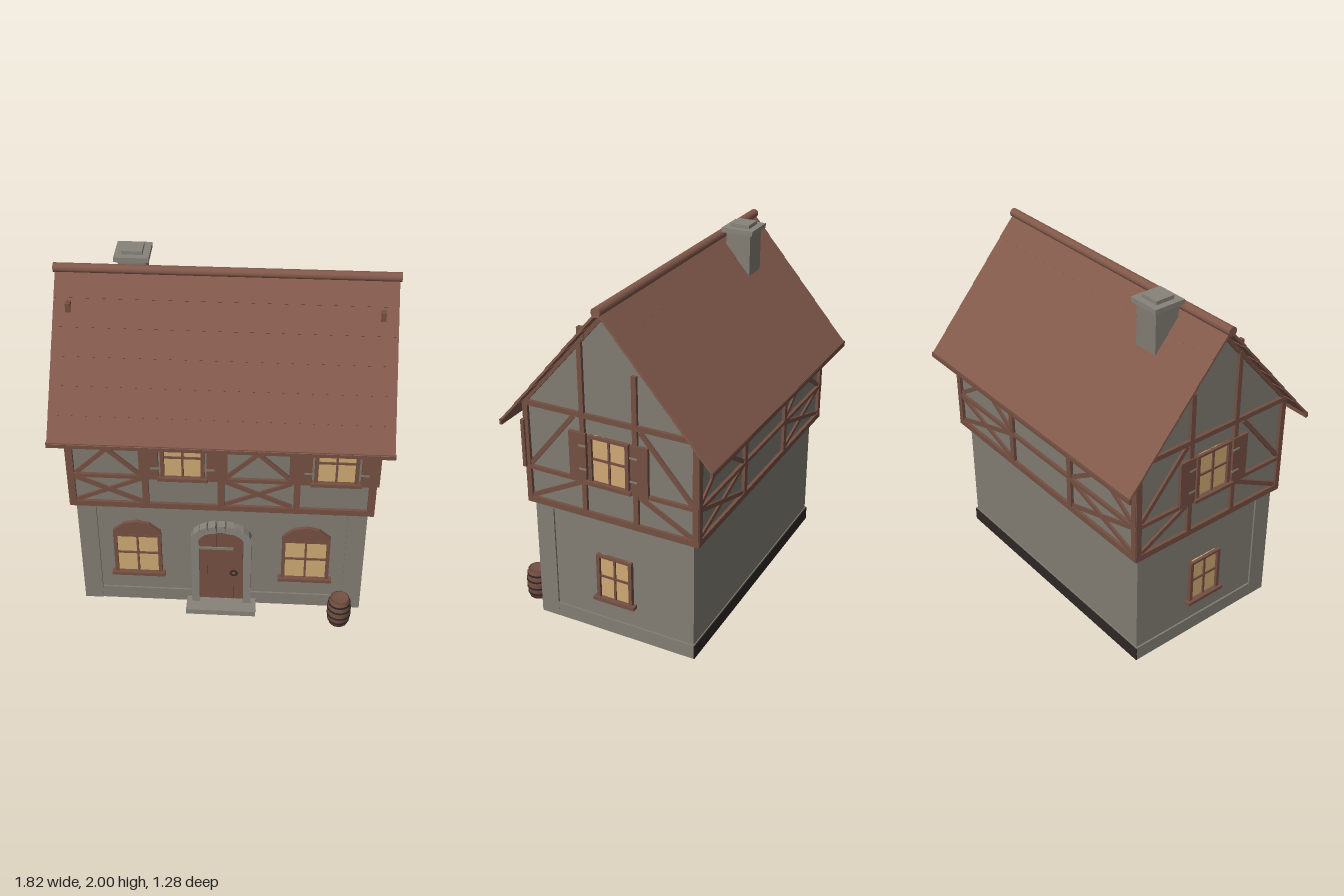
import * as THREE from 'three';

const mat = (name, color) => {
  const m = new THREE.MeshStandardMaterial({ color });
  m.name = name;
  return m;
};
const M = {
  stone: mat('stone', 0x827d73),
  plaster: mat('plaster', 0x807b71),
  roof: mat('roof tile', 0x82594b),
  timber: mat('timber', 0x744f42),
  glass: mat('lit glass', 0xcfa974),
  iron: mat('iron', 0x2e2725),
  trim: mat('door stone', 0x87837a),
};

function add(g, name, geo, m, x = 0, y = 0, z = 0) {
  const mesh = new THREE.Mesh(geo, m);
  mesh.name = name;
  mesh.position.set(x, y, z);
  g.add(mesh);
  return mesh;
}
// Box given by its lower and upper limits
function block(g, name, m, x0, x1, y0, y1, z0, z1) {
  return add(g, name, new THREE.BoxGeometry(x1 - x0, y1 - y0, z1 - z0), m, (x0 + x1) / 2, (y0 + y1) / 2, (z0 + z1) / 2);
}
// Timber between two points of a wall plane
function beam(g, x0, y0, x1, y1, w = 0.035, d = 0.018) {
  const len = Math.hypot(x1 - x0, y1 - y0);
  const b = add(g, 'timberBeam', new THREE.BoxGeometry(len, w, d), M.timber, (x0 + x1) / 2, (y0 + y1) / 2, d / 2);
  b.rotation.z = Math.atan2(y1 - y0, x1 - x0);
}
function cross(g, x0, x1, y0, y1) {
  beam(g, x0, y0, x1, y1, 0.024, 0.011);
  beam(g, x0, y1, x1, y0, 0.024, 0.013);
}
function wallGroup(parent, name, x, z, turn) {
  const g = new THREE.Group();
  g.name = name;
  g.position.set(x, 0, z);
  g.rotation.y = turn;
  parent.add(g);
  return g;
}
// Four-pane window, with an optional arched head or shutters
function addWindow(wall, x, y0, y1, w, { arch = false, shutters = false } = {}) {
  const g = new THREE.Group();
  g.name = 'window';
  g.position.x = x;
  wall.add(g);
  const h = w / 2, t = 0.02, mid = (y0 + y1) / 2;
  block(g, 'glass', M.glass, -h + t, h - t, y0, y1, 0, 0.008);
  for (const s of [-1, 1]) block(g, 'frameSide', M.timber, s * (h - t / 2) - t / 2, s * (h - t / 2) + t / 2, y0, y1, 0, 0.024);
  block(g, 'frameTop', M.timber, -h, h, y1 - t * 0.7, y1, 0, 0.024);
  block(g, 'mullion', M.timber, -0.006, 0.006, y0, y1, 0, 0.016);
  block(g, 'crossbar', M.timber, -h + t, h - t, mid - 0.006, mid + 0.006, 0, 0.015);
  block(g, 'sill', M.timber, -h - 0.018, h + 0.018, y0 - 0.016, y0 + 0.004, 0, 0.038);
  if (arch) {
    const s = new THREE.Shape([[-h, 0], [h, 0], [h, 0.025], [0.07, 0.08], [0, 0.095], [-0.07, 0.08], [-h, 0.025]].map(p => new THREE.Vector2(...p)));
    add(g, 'archedHead', new THREE.ExtrudeGeometry(s, { depth: 0.022, bevelEnabled: false }), M.timber, 0, y1, 0);
  }
  if (shutters) for (const s of [-1, 1]) {
    const c = s * (h + 0.062);
    block(g, 'shutter', M.timber, c - 0.05, c + 0.05, y0 - 0.01, y1 + 0.005, 0.006, 0.026);
    for (const y of [y0 + 0.065, y1 - 0.065]) block(g, 'hinge', M.stone, c - s * 0.03 - 0.022, c - s * 0.03 + 0.022, y - 0.005, y + 0.005, 0.02, 0.03);
  }
}

function groundFloor(root) {
  const g = wallGroup(root, 'groundFloor', 0, 0, 0);
  block(g, 'stoneWalls', M.stone, -0.79, 0.79, 0, 0.74, -0.485, 0.45);
  block(g, 'plinth', M.stone, -0.8, 0.8, 0, 0.085, -0.49, 0.46);
  block(g, 'topCourse', M.stone, -0.8, 0.8, 0.7, 0.73, -0.49, 0.462);
  block(g, 'rearDampCourse', M.iron, -0.8, 0.8, 0, 0.08, -0.494, -0.489);
  for (const s of [-1, 1]) block(g, 'cornerPier', M.stone, s * 0.748 - 0.053, s * 0.748 + 0.053, 0, 0.73, 0.355, 0.464);
  const front = wallGroup(g, 'groundFront', 0, 0.45, 0);
  for (const s of [-1, 1]) {
    addWindow(front, s * 0.475, 0.225, 0.51, 0.27, { arch: true });
    const side = wallGroup(g, 'groundSide', s * 0.79, -0.018, s * Math.PI / 2);
    addWindow(side, 0, 0.225, 0.495, 0.215);
  }
  // Door with raised planks, iron fittings and a stone arch
  const door = wallGroup(front, 'door', 0, 0, 0);
  const leaf = new THREE.Shape();
  leaf.moveTo(-0.13, 0.035);
  leaf.lineTo(0.13, 0.035);
  leaf.lineTo(0.13, 0.51);
  leaf.absellipse(0, 0.51, 0.13, 0.075, 0, Math.PI, false);
  add(door, 'doorLeaf', new THREE.ExtrudeGeometry(leaf, { depth: 0.014, bevelEnabled: false }), M.timber);
  [-0.1, -0.05, 0, 0.05, 0.1].forEach(x => block(door, 'plank', M.timber, x - 0.021, x + 0.021, 0.04, 0.555 - Math.abs(x) * 0.3, 0.01, 0.022));
  block(door, 'strap', M.stone, -0.125, 0.07, 0.425, 0.442, 0.02, 0.028);
  add(door, 'doorRing', new THREE.TorusGeometry(0.018, 0.005, 6, 14), M.iron, 0.07, 0.25, 0.028);
  for (const s of [-1, 1]) block(door, 'jamb', M.trim, s * 0.147 - 0.022, s * 0.147 + 0.022, 0.03, 0.53, 0, 0.05);
  for (let i = 0; i < 9; i++) {
    const a = Math.PI * (0.07 + 0.86 * i / 8);
    const v = add(door, 'archStone', new THREE.BoxGeometry(0.042, 0.046, 0.05 + (i % 2) * 0.008), M.trim, Math.cos(a) * 0.145, 0.515 + Math.sin(a) * 0.083, 0.027);
    v.rotation.z = Math.atan2(Math.sin(a) * 0.145, Math.cos(a) * 0.083) - Math.PI / 2;
  }
  block(front, 'doorstep', M.trim, -0.2, 0.2, 0, 0.035, 0, 0.12);
}

function upperFloor(root) {
  const g = wallGroup(root, 'upperFloor', 0, 0, 0);
  // Plaster body with gables, drawn in (z, y) and swept along x
  const profile = new THREE.Shape([[0.475, 0.735], [0.475, 1.34], [-0.02, 1.905], [-0.515, 1.33], [-0.515, 0.735]].map(([z, y]) => new THREE.Vector2(-z, y)));
  const body = new THREE.ExtrudeGeometry(profile, { depth: 1.63, bevelEnabled: false });
  body.rotateY(Math.PI / 2);
  add(g, 'plasterBody', body, M.plaster, -0.815, 0, 0);

  const rails = (w, half) => {
    beam(w, -half, 0.748, half, 0.748);
    beam(w, -half, 0.945, half, 0.945, 0.022);
  };
  const front = wallGroup(g, 'upperFront', 0, 0.475, 0);
  rails(front, 0.83);
  for (const x of [-0.81, -0.41, 0, 0.41, 0.81]) beam(front, x, 0.73, x, Math.abs(x) === 0.81 ? 1.33 : 0.945);
  for (const x of [-0.425, 0.02, 0.38]) beam(front, x, 0.94, x, 1.33, 0.03);
  beam(front, -0.83, 1.31, 0.83, 1.31);
  for (const x of [-0.61, 0.2]) {
    cross(front, x - 0.18, x + 0.18, 0.77, 0.93);
    cross(front, x - 0.17, x + 0.17, 0.96, 1.29);
    beam(front, x - 0.19, 1.2, x + 0.19, 1.2, 0.02, 0.015);
  }
  addWindow(front, -0.205, 0.955, 1.215, 0.235, { shutters: true });
  addWindow(front, 0.615, 0.955, 1.215, 0.235, { shutters: true });

  const back = wallGroup(g, 'upperBack', 0, -0.515, Math.PI);
  rails(back, 0.83);
  beam(back, -0.83, 1.31, 0.83, 1.31);
  for (const x of [-0.81, -0.27, 0.27, 0.81]) beam(back, x, 0.73, x, 1.33);
  for (const x of [-0.54, 0.54]) {
    cross(back, x - 0.25, x + 0.25, 0.77, 0.93);
    cross(back, x - 0.25, x + 0.25, 0.96, 1.29);
  }

  for (const s of [-1, 1]) {
    // Along the wall, u = -s * z
    const w = wallGroup(g, 'gableWall', s * 0.815, 0, s * Math.PI / 2);
    const b = (z0, y0, z1, y1, t, d) => beam(w, -s * z0, y0, -s * z1, y1, t, d);
    b(0.49, 0.748, -0.53, 0.748);
    b(0.49, 0.945, -0.53, 0.945, 0.022);
    b(0.48, 1.322, -0.52, 1.322, 0.028);
    b(0.475, 0.73, 0.475, 1.335, 0.03);
    b(-0.513, 0.73, -0.513, 1.335, 0.034);
    b(0.132, 0.73, 0.132, 1.735, 0.026);
    b(-0.173, 0.73, -0.173, 1.6, 0.028);
    b(0.46, 0.965, 0.19, 1.3, 0.025, 0.013);
    b(-0.2, 1.3, -0.49, 0.965, 0.025, 0.013);
    b(0.46, 0.77, 0.15, 0.93, 0.025, 0.013);
    b(-0.19, 0.93, -0.49, 0.77, 0.025, 0.013);
    b(0.475, 1.33, -0.02, 1.895, 0.022, 0.015);
    b(-0.515, 1.32, -0.02, 1.895, 0.022, 0.015);
    addWindow(w, s * 0.02, 0.955, 1.22, 0.235, { shutters: true });
  }
}

function roof(root) {
  const g = wallGroup(root, 'roof', 0, 0, 0);
  const rows = 6, ridgeY = 1.925, ridgeZ = -0.02;
  // Overlapping courses, each lifted slightly at its lower edge
  for (const [eaveZ, eaveY, tilt] of [[0.582, 1.222, -0.02], [-0.63, 1.218, 0.02]]) {
    const dz = eaveZ - ridgeZ, dy = eaveY - ridgeY, len = Math.hypot(dz, dy);
    for (let i = 0; i < rows; i++) {
      const t = (i + 0.5) / rows;
      const r = add(g, 'tileCourse', new THREE.BoxGeometry(1.8, 0.012, len / rows * 1.06), M.roof, 0, ridgeY + dy * t, ridgeZ + dz * t);
      r.rotation.x = Math.atan2(-dy, dz) + tilt;
    }
    block(g, 'eaveBoard', M.timber, -0.905, 0.905, eaveY - 0.022, eaveY + 0.008, eaveZ - 0.008, eaveZ + 0.006);
  }
  const ridge = add(g, 'ridgeCap', new THREE.CylinderGeometry(0.026, 0.026, 1.82, 10), M.roof, 0, 1.927, ridgeZ);
  ridge.rotation.z = Math.PI / 2;
  for (const s of [-1, 1]) block(g, 'roofPeg', M.timber, s * 0.82 - 0.013, s * 0.82 + 0.013, 1.75, 1.8, 0.1, 0.14);
}

function chimney(root) {
  const g = wallGroup(root, 'chimney', -0.502, -0.137, 0);
  block(g, 'chimneyStack', M.stone, -0.073, 0.073, 1.55, 1.955, -0.073, 0.073);
  block(g, 'chimneyCap', M.trim, -0.093, 0.093, 1.953, 1.98, -0.093, 0.093);
  block(g, 'chimneyTop', M.trim, -0.056, 0.056, 1.98, 2, -0.056, 0.056);
}

function barrel(root) {
  const g = wallGroup(root, 'barrel', 0.678, 0.57, 0);
  const pts = [[0, 0], [0.055, 0], [0.064, 0.045], [0.067, 0.09], [0.064, 0.135], [0.055, 0.18], [0.048, 0.18], [0.047, 0.17], [0, 0.17]];
  add(g, 'barrelBody', new THREE.LatheGeometry(pts.map(p => new THREE.Vector2(...p)), 16), M.timber);
  for (const [y, r] of [[0.03, 0.062], [0.07, 0.067], [0.115, 0.067], [0.152, 0.062]])
    add(g, 'barrelHoop', new THREE.CylinderGeometry(r + 0.002, r + 0.002, 0.01, 16), M.iron, 0, y, 0);
}

export function createModel() {
  const root = new THREE.Group();
  root.name = 'timberHouse';
  groundFloor(root);
  upperFloor(root);
  roof(root);
  chimney(root);
  barrel(root);
  return root;
}
